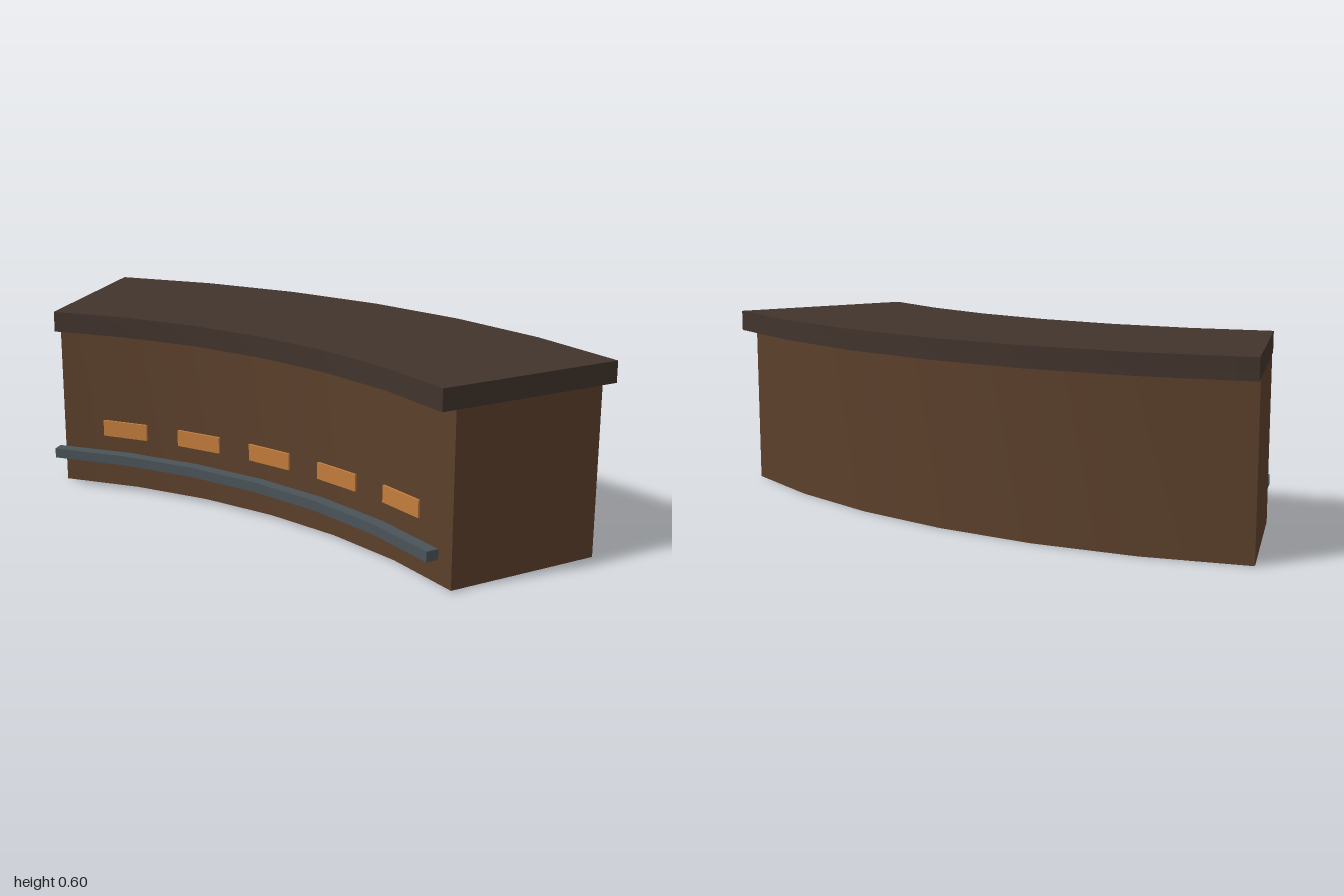
import * as THREE from 'three';
import { toCreasedNormals } from 'three/addons/utils/BufferGeometryUtils.js';

const CENTRE_Z = 2.213; // centre of the arc, in front of the counter
const HALF_ANGLE = Math.PI / 8;
const SEGMENTS = 6;

const material = (name, color) => new THREE.MeshStandardMaterial({ name, color });

// Curved slab between two radii and two heights
function arcSlab(name, inner, outer, y0, y1, mat) {
  const points = [];
  const add = (r, a) => points.push(new THREE.Vector2(r * Math.sin(a), r * Math.cos(a) - CENTRE_Z));
  for (let i = 0; i <= SEGMENTS; i++) add(inner, HALF_ANGLE * (2 * i / SEGMENTS - 1));
  for (let i = SEGMENTS; i >= 0; i--) add(outer, HALF_ANGLE * (2 * i / SEGMENTS - 1));
  const geometry = new THREE.ExtrudeGeometry(new THREE.Shape(points), { depth: y1 - y0, bevelEnabled: false });
  geometry.rotateX(-Math.PI / 2).translate(0, y0, 0);
  const mesh = new THREE.Mesh(toCreasedNormals(geometry, Math.PI / 6), mat);
  mesh.name = name;
  return mesh;
}

export function createModel() {
  const wood = material('brown wood', 0x5c402b);
  const darkWood = material('dark wood', 0x42342d);
  const steel = material('grey steel', 0x4a5459);
  const amber = material('amber', 0xc47d3c);

  const model = new THREE.Group();
  model.name = 'curvedCounter';
  model.add(
    arcSlab('counterBody', 2.047, 2.56, 0, 0.533, wood),
    arcSlab('counterTop', 2.0, 2.613, 0.533, 0.6, darkWood),
    arcSlab('footRail', 1.96, 2.0, 0.104, 0.136, steel),
  );

  // Row of amber panels along the front face
  const panels = new THREE.Group();
  panels.name = 'frontPanels';
  const panelGeometry = new THREE.BoxGeometry(0.163, 0.054, 0.008);
  for (let i = -2; i <= 2; i++) {
    const a = THREE.MathUtils.degToRad(8 * i);
    const panel = new THREE.Mesh(panelGeometry, amber);
    panel.name = 'frontPanel';
    panel.position.set(2.038 * Math.sin(a), 0.2, CENTRE_Z - 2.038 * Math.cos(a));
    panel.rotation.y = -a;
    panels.add(panel);
  }
  model.add(panels);
  return model;
}
